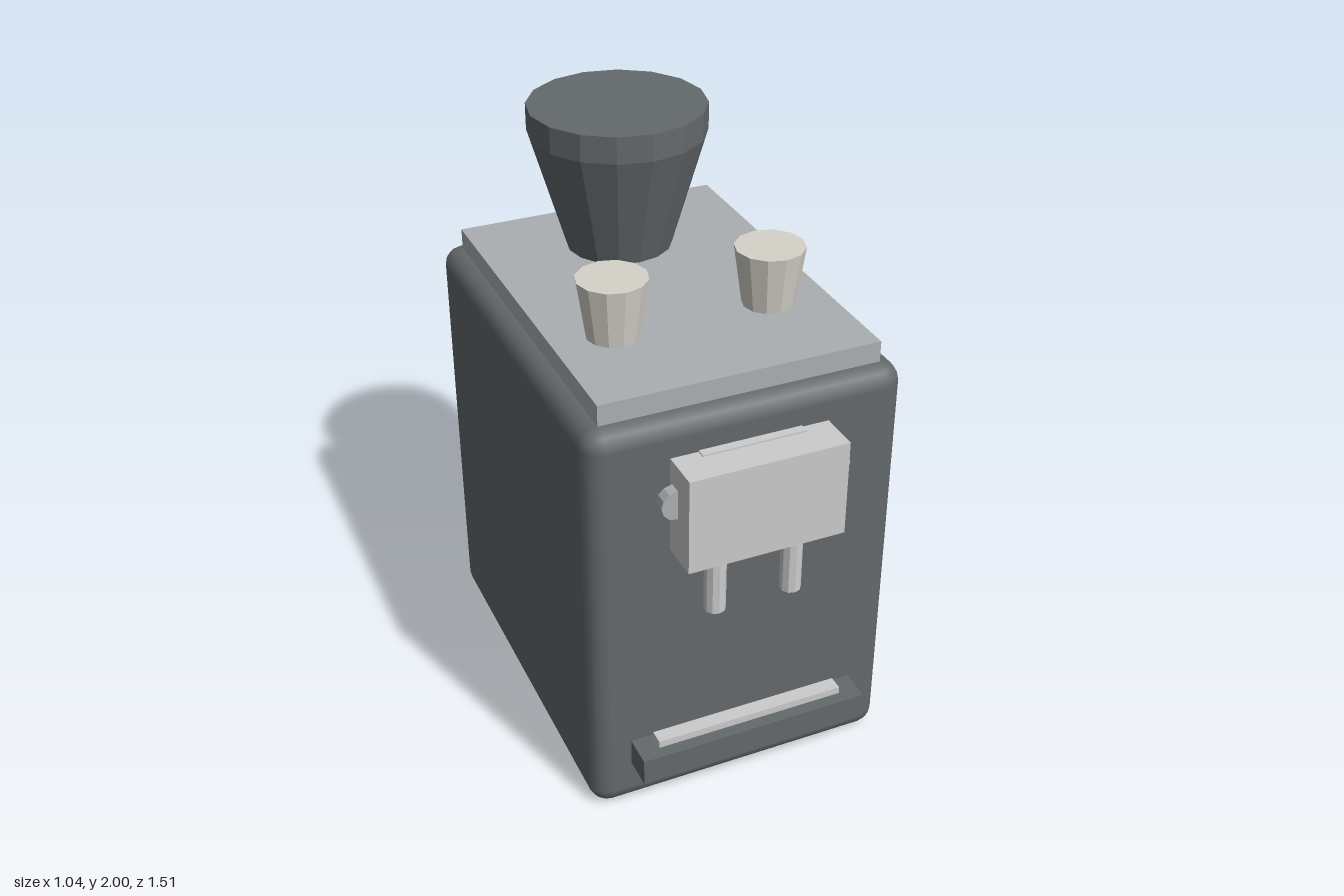
import * as THREE from 'three';
import { RoundedBoxGeometry } from 'three/addons/geometries/RoundedBoxGeometry.js';

const mat = (color) => new THREE.MeshStandardMaterial({ color, flatShading: true });

export function createModel() {
  const model = new THREE.Group();
  const dark = mat(0x64696c), steel = mat(0xabafb2), light = mat(0xc6c8ca), cream = mat(0xd5d2c9);

  const add = (name, geometry, material, x, y, z) => {
    const mesh = new THREE.Mesh(geometry, material);
    mesh.name = name;
    mesh.position.set(x, y, z);
    model.add(mesh);
    return mesh;
  };
  // Box given by its limits on y and z, centred on x
  const box = (name, material, width, y0, y1, z0, z1) =>
    add(name, new THREE.BoxGeometry(width, y1 - y0, z1 - z0), material, 0, (y0 + y1) / 2, (z0 + z1) / 2);

  // Housing with rounded edges and the plate on top
  const body = add('body', new RoundedBoxGeometry(1.045, 1.44, 1.375, 2, 0.065), dark, 0, 0.722, -0.068);
  body.material = dark.clone();
  body.material.flatShading = false;
  box('topPlate', steel, 0.92, 1.43, 1.51, -0.69, 0.56);

  // Bean hopper: tapered funnel with a straight lid
  add('hopper', new THREE.CylinderGeometry(0.295, 0.178, 0.4, 16), dark, 0, 1.71, -0.395);
  add('hopperLid', new THREE.CylinderGeometry(0.295, 0.295, 0.09, 16), dark, 0, 1.955, -0.395);

  // Brew head on the front
  box('brewHead', light, 0.52, 0.99, 1.315, 0.6, 0.755);
  box('brewHeadRim', light, 0.34, 1.2, 1.32, 0.6, 0.65);

  // Drip tray and its grate
  box('dripTray', dark, 0.79, 0.17, 0.265, 0.6, 0.725);
  box('dripGrate', light, 0.65, 0.25, 0.29, 0.635, 0.685);

  // Mirrored pairs: cups, side knobs, spouts
  for (const [side, s] of [['left', 1], ['right', -1]]) {
    add(side + 'Cup', new THREE.CylinderGeometry(0.113, 0.085, 0.195, 12), cream, s * 0.263, 1.6075, 0.195);
    const knob = add(side + 'Knob', new THREE.CylinderGeometry(0.05, 0.05, 0.04, 12), steel, s * 0.262, 1.185, 0.655);
    knob.rotation.x = Math.PI / 2;
    add(side + 'Spout', new THREE.CylinderGeometry(0.035, 0.035, 0.25, 10), light, s * 0.13, 0.885, 0.665);
  }
  return model;
}
